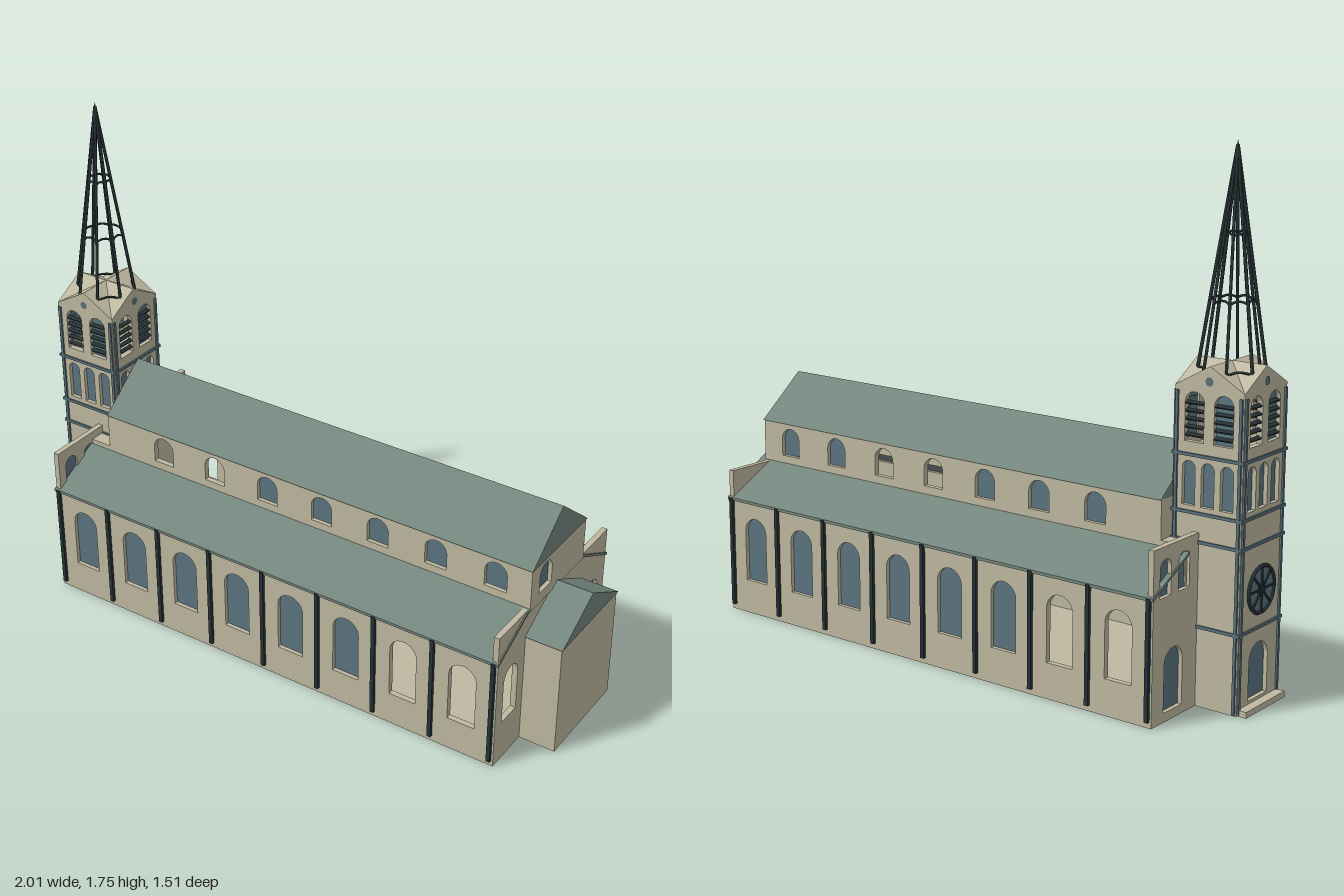
import * as THREE from 'three';

const mat = (name, color, side = THREE.FrontSide) => {
  const m = new THREE.MeshStandardMaterial({ color, side });
  m.name = name;
  return m;
};

export function createModel() {
  const stone = mat('stone', 0xbfb9a1);
  const slate = mat('slate', 0x74867e);
  const glass = mat('glass', 0x5c7480, THREE.DoubleSide);
  const trim = mat('trim', 0x5a707c);
  const iron = mat('iron', 0x263134);

  const model = new THREE.Group();
  model.name = 'church';
  const church = new THREE.Group(); // local x runs from tower to apse
  church.name = 'building';
  church.rotation.y = -0.494;
  model.add(church);

  const add = (parent, name, geo, material, x = 0, y = 0, z = 0) => {
    const m = new THREE.Mesh(geo, material);
    m.name = name;
    m.position.set(x, y, z);
    parent.add(m);
    return m;
  };
  const box = (parent, name, material, w, h, d, x, y, z) =>
    add(parent, name, new THREE.BoxGeometry(w, h, d), material, x, y, z);

  // Round-headed opening: x centre, sill y, width, total height
  const arch = (P, { x, y, w, h }) => {
    const p = new P();
    const r = w / 2;
    p.moveTo(x - r, y);
    p.lineTo(x + r, y);
    p.lineTo(x + r, y + h - r);
    p.absarc(x, y + h - r, r, 0, Math.PI, false);
    p.lineTo(x - r, y);
    return p;
  };

  // Wall with arched openings; its outer face is local z = 0
  const T = 0.02;
  const wall = (name, w, y0, y1, wins, x, z, rot) => {
    const g = new THREE.Group();
    g.name = name;
    g.position.set(x, 0, z);
    g.rotation.y = rot;
    church.add(g);
    const s = new THREE.Shape([[-w / 2, y0], [w / 2, y0], [w / 2, y1], [-w / 2, y1]]
      .map(([a, b]) => new THREE.Vector2(a, b)));
    wins.forEach(o => s.holes.push(arch(THREE.Path, o)));
    add(g, 'wallPanel', new THREE.ExtrudeGeometry(s, { depth: T, bevelEnabled: false, curveSegments: 10 }), stone, 0, 0, -T);
    for (const o of wins) {
      if (!o.open) add(g, 'windowPane', new THREE.ShapeGeometry(arch(THREE.Shape, o), 10), glass, 0, 0, -0.014);
      if (o.louvres) for (let i = 0; i < 5; i++) {
        const l = box(g, 'louvre', iron, o.w, 0.005, 0.014, o.x, o.y + 0.02 + i * 0.025, -0.008);
        l.rotation.x = 0.5;
      }
    }
    return g;
  };

  // Profile in (z, y), swept along x from x0 to x1
  const sweep = (name, pts, x0, x1, material, parent = church) => {
    const s = new THREE.Shape(pts.map(([z, y]) => new THREE.Vector2(-z, y)));
    const geo = new THREE.ExtrudeGeometry(s, { depth: x1 - x0, bevelEnabled: false });
    geo.rotateY(Math.PI / 2);
    return add(parent, name, geo, material, x0);
  };

  // Aisles: eight bays on each side
  const bay = 0.2216;
  box(church, 'floor', stone, 1.79, 0.01, 0.72, 0, 0.006, 0);
  for (const s of [1, -1]) {
    const wins = [];
    for (let i = 0; i < 8; i++)
      wins.push({ x: (i - 3.5) * bay, y: 0.12, w: 0.1, h: 0.23, open: i > 5 });
    const g = wall('aisleWall', 1.8, 0, 0.41, wins, 0, s * 0.365, s > 0 ? 0 : Math.PI);
    for (let i = 0; i < 9; i++)
      box(g, 'drainPipe', iron, 0.014, 0.39, 0.012, (i - 4) * bay, 0.215, 0.005);
    sweep('aisleRoof', [[s * 0.372, 0.403], [s * 0.372, 0.413], [s * 0.175, 0.515], [s * 0.175, 0.505]],
      -0.904, 0.904, slate);

    // Clerestory
    const upper = [];
    for (let i = 0; i < 7; i++)
      upper.push({ x: s * (i * bay - 0.605), y: 0.54, w: 0.082, h: 0.1, open: s > 0 ? [0, 1].includes(i) : [3, 4].includes(i) });
    wall('clerestoryWall', 1.705, 0.5, 0.66, upper, 0.0525, s * 0.18, s > 0 ? 0 : Math.PI);
  }

  // End walls with raised parapets
  wall('eastWall', 0.73, 0, 0.51, [
    { x: -0.275, y: 0.15, w: 0.09, h: 0.2, open: true },
    { x: 0.275, y: 0.15, w: 0.09, h: 0.2 },
  ], 0.9, 0, Math.PI / 2);
  const facade = [];
  for (const s of [1, -1]) {
    facade.push({ x: s * 0.25, y: 0.03, w: 0.1, h: 0.2 });
    for (const d of [0.2, 0.3]) facade.push({ x: s * d, y: 0.4, w: 0.06, h: 0.12 });
  }
  wall('westFacade', 0.73, 0, 0.56, facade, -0.9, 0, -Math.PI / 2);

  // Nave ends and roof
  wall('naveEastWall', 0.36, 0.5, 0.66, [{ x: -0.085, y: 0.54, w: 0.08, h: 0.1 }], 0.905, 0, Math.PI / 2);
  wall('naveWestWall', 0.36, 0.5, 0.66, [], -0.8, 0, -Math.PI / 2);
  sweep('naveRoof', [[0.184, 0.657], [0, 0.805], [-0.184, 0.657]], -0.8, 0.908, slate);
  box(church, 'towerLink', stone, 0.1, 0.53, 0.36, -0.84, 0.265, 0);

  // Apse
  box(church, 'apse', stone, 0.13, 0.41, 0.38, 0.965, 0.205, 0);
  sweep('apseRoof', [[0.194, 0.41], [0, 0.52], [-0.194, 0.41]], 0.9, 1.034, slate);

  // Tower: four similar faces
  const R = 0.1225, cx = -0.9265;
  for (let k = 0; k < 4; k++) {
    const a = k * Math.PI / 2;
    const wins = [-1, 1].map(s => ({ x: s * 0.052, y: 0.84, w: 0.068, h: 0.16 - 0.005, louvres: true, open: s < 0 }));
    for (const i of [-1, 0, 1]) wins.push({ x: i * 0.068, y: 0.64, w: 0.046, h: 0.14 });
    if (k === 3) wins.push({ x: 0, y: 0.03, w: 0.11, h: 0.18 });
    const g = wall('towerFace', 2 * R, 0, 1.01, wins, cx + R * Math.sin(a), R * Math.cos(a), a);
    for (const y of [0.26, 0.53, 0.62, 0.8])
      box(g, 'stringCourse', trim, 2 * R + 0.012, 0.01, 0.008, 0, y, 0.002);
    for (const x of [-0.113, 0.113])
      box(g, 'cornerStrip', trim, 0.01, 0.99, 0.008, x, 0.5, 0.002);
    // Gable with a small round light
    const gable = new THREE.Shape([[-R, 1.01], [R, 1.01], [0, 1.08]].map(([x, y]) => new THREE.Vector2(x, y)));
    add(g, 'gable', new THREE.ExtrudeGeometry(gable, { depth: R, bevelEnabled: false }), stone, 0, 0, -R);
    add(g, 'gableLight', new THREE.CircleGeometry(0.014, 16), trim, 0, 1.033, 0.003);
    if (k === 3) { // Rose window over the west door
      add(g, 'roseGlass', new THREE.CircleGeometry(0.075, 32), glass, 0, 0.38, 0.003);
      add(g, 'roseRim', new THREE.TorusGeometry(0.075, 0.006, 6, 32), iron, 0, 0.38, 0.004);
      add(g, 'roseHub', new THREE.TorusGeometry(0.018, 0.004, 6, 16), iron, 0, 0.38, 0.004);
      for (let i = 0; i < 4; i++)
        box(g, 'roseSpoke', iron, 0.15, 0.006, 0.006, 0, 0.38, 0.005).rotation.z = i * Math.PI / 4;
    }
  }
  box(church, 'belfryFloor', stone, 0.23, 0.01, 0.23, cx, 0.81, 0);
  box(church, 'doorStep', stone, 0.06, 0.02, 0.23, -1.05, 0.01, 0);

  // Open iron spire: eight ribs tied by arched rings
  const spire = new THREE.Group();
  spire.name = 'spire';
  spire.position.x = cx;
  church.add(spire);
  const apex = 1.73, foot = 1.03;
  const at = (i, y, k = 1) => {
    const r = k * 0.108 * (apex - y) / (apex - foot), a = (i + 0.5) * Math.PI / 4;
    return new THREE.Vector3(r * Math.cos(a), y, r * Math.sin(a));
  };
  for (let i = 0; i < 8; i++) {
    add(spire, 'rib', new THREE.TubeGeometry(new THREE.LineCurve3(at(i, foot), at(i, apex)), 1, 0.0055, 6), iron);
    for (const y of [1.05, 1.26, 1.46]) {
      const mid = at(i + 0.5, y, 0.82);
      mid.y += 0.02;
      const curve = new THREE.QuadraticBezierCurve3(at(i, y), mid, at(i + 1, y));
      add(spire, 'tieArch', new THREE.TubeGeometry(curve, 5, 0.004, 5), iron);
    }
  }
  add(spire, 'finial', new THREE.ConeGeometry(0.008, 0.05, 8), iron, 0, 1.722, 0);

  return model;
}
